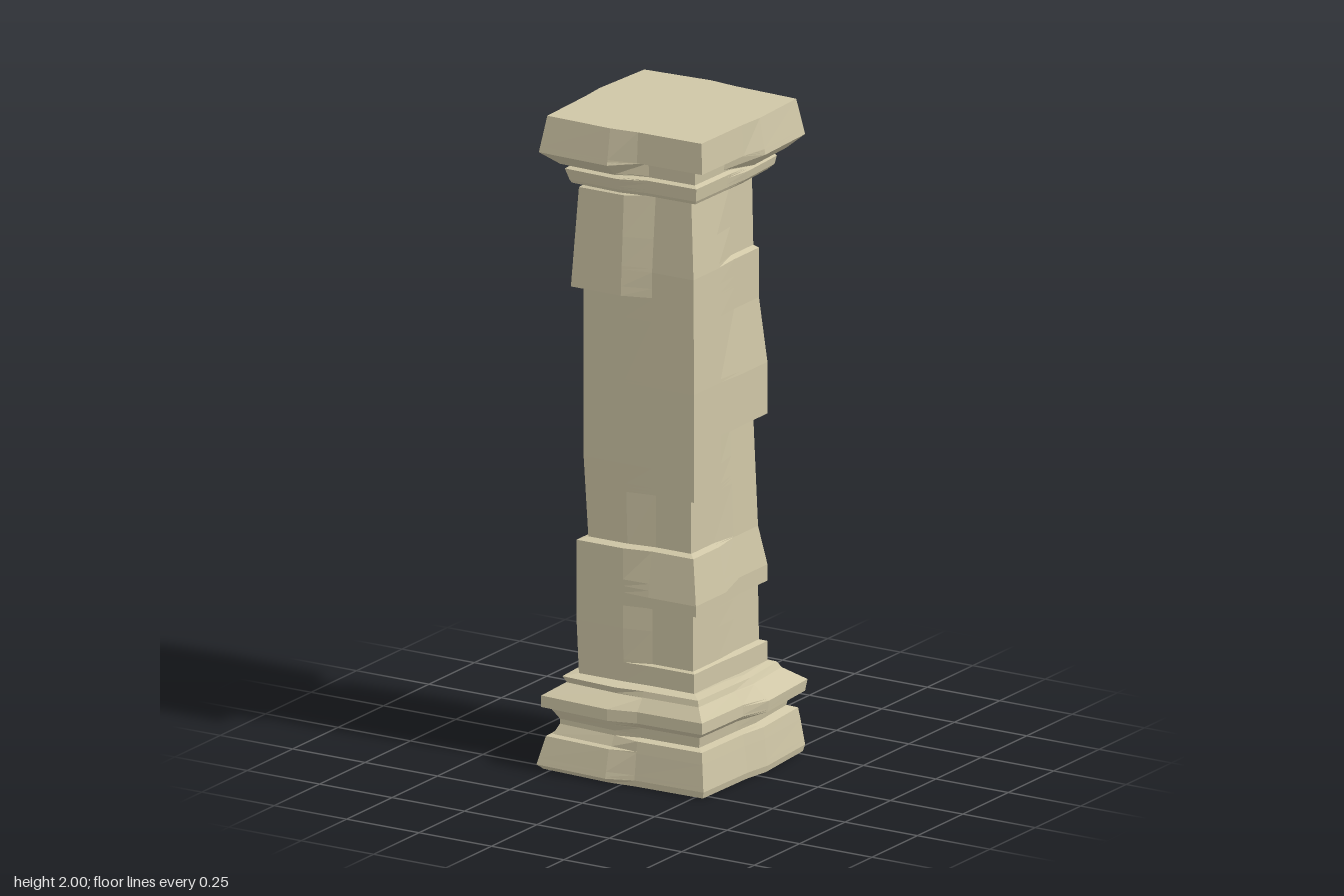
import * as THREE from 'three';

const stone = new THREE.MeshStandardMaterial({ color: 0xcfc6a6, flatShading: true });
const MID = 0.045; // half width of the strip where two neighbouring corners meet

// half-size of a corner profile [[y, size], ...] at a height
function sizeAt(profile, y) {
  for (let i = 1; i < profile.length; i++) {
    const [y0, s0] = profile[i - 1], [y1, s1] = profile[i];
    if (y <= y1) return THREE.MathUtils.lerp(s0, s1, THREE.MathUtils.clamp((y - y0) / (y1 - y0), 0, 1));
  }
  return profile[profile.length - 1][1];
}

// Square column section whose four corners each follow their own chipped profile.
// Corner order: front left(+x+z), back (+x-z), back (-x-z), front (-x+z).
function chippedSection(name, profiles, bulges) {
  const levels = [...new Set(profiles.flat().map(p => p[0]))].sort((a, b) => a - b);
  const rings = levels.map(y => {
    const ring = [];
    profiles.forEach((profile, k) => {
      const s = sizeAt(profile, y), m = s + bulges[k];
      for (let [x, z] of [[MID, m], [s, s], [m, MID]]) {
        for (let r = 0; r < k; r++) [x, z] = [z, -x];
        ring.push(new THREE.Vector3(x, y, z));
      }
    });
    return ring;
  });
  const points = [];
  const n = 12, last = rings.length - 1;
  const bottom = new THREE.Vector3(0, levels[0], 0), top = new THREE.Vector3(0, levels[last], 0);
  for (let i = 0; i < n; i++) {
    const j = (i + 1) % n;
    for (let l = 0; l < last; l++) {
      const a = rings[l][i], b = rings[l][j], c = rings[l + 1][i], d = rings[l + 1][j];
      points.push(a, b, d, a, d, c);
    }
    points.push(bottom, rings[0][j], rings[0][i], top, rings[last][i], rings[last][j]);
  }
  const geometry = new THREE.BufferGeometry().setFromPoints(points);
  geometry.computeVertexNormals();
  const mesh = new THREE.Mesh(geometry, stone);
  mesh.name = name;
  return mesh;
}

export function createModel() {
  const group = new THREE.Group();
  group.name = 'stonePillar';

  // plinth and flared moulding
  group.add(chippedSection('base', [
    [[0, 0.275], [0.02, 0.28], [0.1, 0.27], [0.135, 0.265], [0.14, 0.24], [0.172, 0.245], [0.19, 0.265],
      [0.225, 0.265], [0.262, 0.235], [0.28, 0.23], [0.286, 0.2]],
    [[0, 0.275], [0.02, 0.28], [0.1, 0.27], [0.135, 0.265], [0.145, 0.24], [0.17, 0.245], [0.185, 0.28],
      [0.22, 0.285], [0.262, 0.23], [0.28, 0.22], [0.286, 0.2]],
    [[0, 0.275], [0.035, 0.29], [0.1, 0.27], [0.135, 0.265], [0.14, 0.24], [0.18, 0.25], [0.195, 0.275],
      [0.225, 0.28], [0.26, 0.225], [0.28, 0.235], [0.286, 0.2]],
    [[0, 0.275], [0.015, 0.29], [0.1, 0.27], [0.105, 0.255], [0.135, 0.24], [0.15, 0.24], [0.185, 0.26],
      [0.19, 0.28], [0.225, 0.28], [0.26, 0.225], [0.28, 0.235], [0.286, 0.2]],
  ], [0.005, 0.018, 0.015, 0.013]));

  // shaft with chipped ledges at different heights on each corner
  group.add(chippedSection('shaft', [
    [[0.286, 0.195], [0.345, 0.195], [0.35, 0.185], [0.52, 0.185], [0.527, 0.21], [0.56, 0.21], [0.695, 0.187],
      [0.703, 0.167], [0.863, 0.167], [0.87, 0.192], [1.2, 0.193], [1.55, 0.188], [1.79, 0.167]],
    [[0.286, 0.2], [0.345, 0.2], [0.352, 0.182], [0.525, 0.18], [0.53, 0.2], [0.58, 0.2], [0.7, 0.18],
      [1.035, 0.17], [1.042, 0.2], [1.2, 0.2], [1.4, 0.182], [1.552, 0.182], [1.562, 0.17], [1.79, 0.167]],
    [[0.286, 0.19], [0.35, 0.195], [0.355, 0.18], [0.51, 0.185], [0.517, 0.2], [0.6, 0.2], [0.7, 0.182],
      [0.88, 0.185], [0.89, 0.205], [1.2, 0.205], [1.21, 0.185], [1.5, 0.182], [1.79, 0.183]],
    [[0.286, 0.2], [0.45, 0.205], [0.695, 0.205], [0.703, 0.18], [0.95, 0.19], [1.465, 0.19],
      [1.472, 0.217], [1.65, 0.207], [1.775, 0.2], [1.782, 0.19], [1.79, 0.19]],
  ], [0, 0, 0.002, 0]));

  // necking and slab
  group.add(chippedSection('capital', [
    [[1.79, 0.205], [1.8, 0.21], [1.84, 0.215], [1.846, 0.2], [1.9, 0.205], [1.907, 0.268], [2, 0.262]],
    [[1.79, 0.2], [1.805, 0.215], [1.83, 0.22], [1.85, 0.205], [1.852, 0.24], [1.89, 0.28], [2, 0.261]],
    [[1.79, 0.215], [1.81, 0.22], [1.838, 0.225], [1.85, 0.205], [1.853, 0.24], [1.895, 0.28], [2, 0.268]],
    [[1.79, 0.215], [1.8, 0.22], [1.835, 0.23], [1.845, 0.21], [1.85, 0.24], [1.89, 0.285], [2, 0.267]],
  ], [0.003, 0.01, 0.014, 0.008]));

  return group;
}
